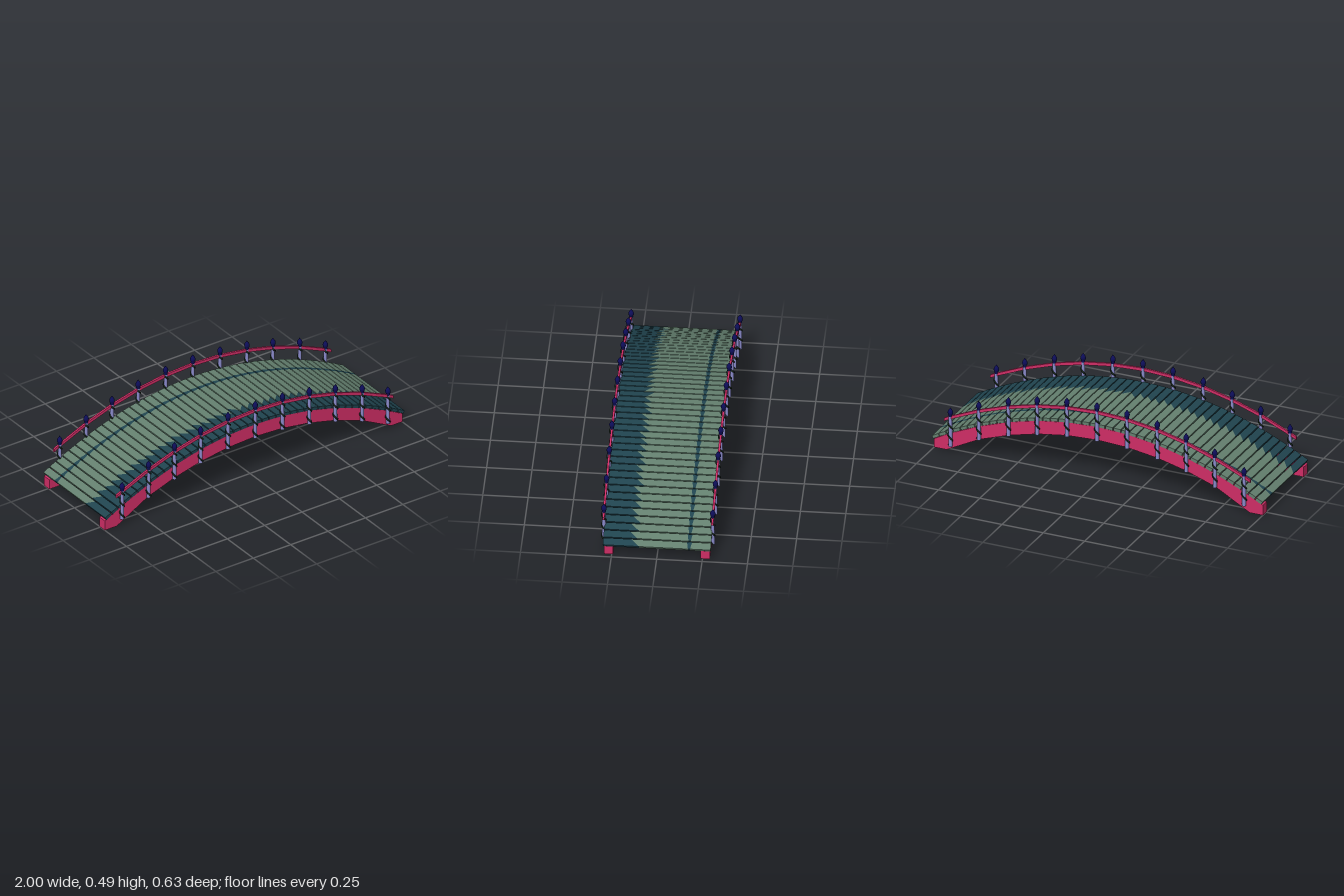
import * as THREE from 'three';

const paint = (name, color, flatShading = false) => {
  const m = new THREE.MeshStandardMaterial({ color, flatShading });
  m.name = name;
  return m;
};

export function createModel() {
  const bridge = new THREE.Group();
  bridge.name = 'archedBridge';
  const pink = paint('pink', 0xcf2d66);
  const green = paint('mossGreen', 0x64806f);
  const teal = paint('darkTeal', 0x20444f);
  const lavender = paint('lavender', 0x8b8bcc);
  const navy = paint('navy', 0x0d0d58);
  const vineGreen = paint('vineGreen', 0x18281c);

  const add = (parent, name, geometry, material, x = 0, y = 0, z = 0) => {
    const mesh = new THREE.Mesh(geometry, material);
    mesh.name = name;
    mesh.position.set(x, y, z);
    parent.add(mesh);
    return mesh;
  };
  const postX = [-0.89, -0.713, -0.54, -0.365, -0.182, 0, 0.182, 0.362, 0.536, 0.715, 0.887];
  const arch = (top, drop) => (x) => top - drop * x * x;

  // Closed side profile extruded to a given width, centred on z = 0
  const slab = (points, width) => {
    const shape = new THREE.Shape(points.map(([x, y]) => new THREE.Vector2(x, y)));
    return new THREE.ExtrudeGeometry(shape, { depth: width, bevelEnabled: false }).translate(0, 0, -width / 2);
  };

  // Side beams: faceted arch with flat feet
  const beamTop = arch(0.335, 0.275), beamBottom = arch(0.255, 0.275);
  const inner = postX.slice(1, -1);
  const beam = slab([
    [-1, 0], [-0.92, 0], ...inner.map((x) => [x, beamBottom(x)]), [0.915, 0.012], [0.99, 0.012],
    [0.99, 0.064], ...[...postX].reverse().map((x) => [x, beamTop(x)]), [-1, 0.06],
  ], 0.051);

  // Handrail: thin strip following the arch, bent at each post
  const railLine = arch(0.428, 0.268);
  const railX = [-0.93, ...postX, 0.922];
  const rail = slab([
    ...railX.map((x) => [x, railLine(x) - 0.009]),
    ...[...railX].reverse().map((x) => [x, railLine(x) + 0.009]),
  ], 0.012);

  // Post parts: shaft, climbing vine and pointed bud finial
  const shaft = new THREE.CylinderGeometry(0.01, 0.011, 0.185, 10).translate(0, 0.0925, 0);
  const helix = [];
  for (let i = 0; i <= 30; i++) {
    const a = (i / 30) * Math.PI * 2 * 2.4;
    helix.push(new THREE.Vector3(Math.cos(a) * 0.0115, 0.004 + 0.17 * (i / 30), Math.sin(a) * 0.0115));
  }
  const vine = new THREE.TubeGeometry(new THREE.CatmullRomCurve3(helix), 48, 0.005, 5);
  const bud = new THREE.LatheGeometry([
    [0, 0.178], [0.009, 0.179], [0.012, 0.185], [0.009, 0.19], [0.014, 0.197],
    [0.0155, 0.207], [0.013, 0.216], [0.006, 0.227], [0, 0.236],
  ].map(([r, y]) => new THREE.Vector2(r, y)), 10);

  const postBase = arch(0.255, 0.271);
  for (const side of [1, -1]) {
    const label = side > 0 ? 'front' : 'back';
    add(bridge, label + 'Beam', beam, pink, 0, 0, side * 0.2665);
    add(bridge, label + 'Handrail', rail, pink, 0, 0, side * 0.3);
    for (const x of postX) {
      const post = new THREE.Group();
      post.name = label + 'Post';
      post.position.set(x, postBase(x), side * 0.3);
      add(post, 'shaft', shaft, lavender);
      add(post, 'vine', vine, vineGreen);
      add(post, 'finial', bud, navy);
      bridge.add(post);
    }
  }

  // Deck planks laid evenly along the arch, each in painted lengths with slanted joints
  const deckLine = arch(0.345, 0.273);
  const endY = deckLine(0.978);
  const curve = new THREE.QuadraticBezierCurve(
    new THREE.Vector2(-0.978, endY), new THREE.Vector2(0, 0.69 - endY), new THREE.Vector2(0.978, endY));
  const plankLength = (z0, z1, slant0, slant1) => {
    const g = new THREE.BoxGeometry(0.042, 0.018, z1 - z0);
    const p = g.attributes.position;
    for (let i = 0; i < p.count; i++) {
      const far = p.getZ(i) > 0, right = p.getX(i) > 0 ? 1 : -1;
      p.setZ(i, far ? z1 + slant1 * right : z0 + slant0 * right);
    }
    g.computeVertexNormals();
    return g;
  };
  const tealTop = [teal, teal, teal, green, teal, teal];
  const count = 44;
  for (let i = 0; i < count; i++) {
    const t = i / (count - 1);
    const at = curve.getPointAt(t), dir = curve.getTangentAt(t);
    const plank = new THREE.Group();
    plank.name = 'plank';
    plank.position.set(at.x, at.y, 0);
    plank.rotation.z = Math.atan2(dir.y, dir.x);
    const slant = at.x < 0 ? 0.022 : -0.022;
    const edge = 0.127 + 0.008 * Math.sin(i * 2.3);
    add(plank, 'plankBack', plankLength(-0.297, -0.188, 0, 0.004), green);
    add(plank, 'plankStripe', plankLength(-0.188, -0.168, 0.004, -0.004), tealTop);
    add(plank, 'plankMiddle', plankLength(-0.168, edge, -0.004, slant), green);
    add(plank, 'plankFront', plankLength(edge, 0.297, slant, 0), tealTop);
    bridge.add(plank);
  }
  return bridge;
}
